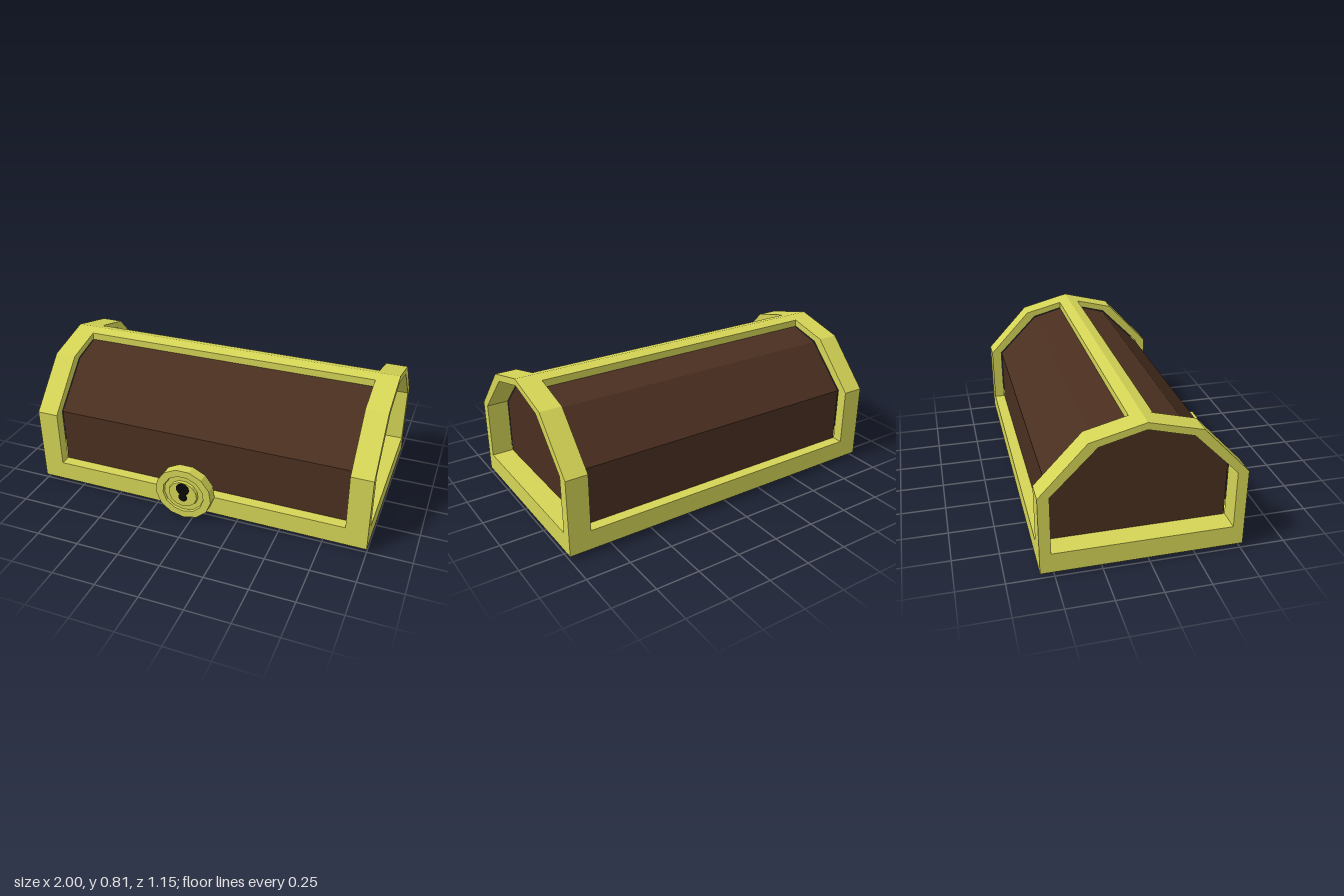
import * as THREE from 'three';

const gold = new THREE.MeshStandardMaterial({ color: 0xd4d456, flatShading: true });
const wood = new THREE.MeshStandardMaterial({ color: 0x4a2f20, flatShading: true });
const black = new THREE.MeshStandardMaterial({ color: 0x080808 });

const MID_Z = -0.032; // depth of the ridge line
const HALF = 0.875;   // half length of the wooden body

// Symmetric barrel profile (half width, y), listed as a closed outline.
// h: half width, y0: bottom, knee: top of the wall, (sx, sy): shoulder, top: ridge
function barrel({ h, y0, knee, sx, sy, top }) {
  const half = [[h, y0], [h, knee], [sx, sy]];
  return [...half, [0, top], ...half.reverse().map(([x, y]) => [-x, y])]
    .map(([x, y]) => new THREE.Vector2(x + MID_Z, y));
}

// Extrude a z-y outline along x, centred on the given x
function extrudeX(shape, length, x, material, name) {
  const geo = new THREE.ExtrudeGeometry(shape, { depth: length, bevelEnabled: false });
  geo.translate(0, 0, -length / 2).rotateY(-Math.PI / 2).translate(x, 0, 0);
  const mesh = new THREE.Mesh(geo, material);
  mesh.name = name;
  return mesh;
}

function box(w, h, d, x, y, z, material, name) {
  const mesh = new THREE.Mesh(new THREE.BoxGeometry(w, h, d), material);
  mesh.position.set(x, y, z);
  mesh.name = name;
  return mesh;
}

// Hollow wooden chest, open underneath
function createBody() {
  const body = new THREE.Group();
  body.name = 'woodenBody';
  const t = 0.08;
  const outer = barrel({ h: 0.479, y0: 0, knee: 0.465, sx: 0.24, sy: 0.708, top: 0.775 });
  const inner = barrel({ h: 0.479 - t, y0: 0, knee: 0.43, sx: 0.203, sy: 0.634, top: 0.692 });
  const shell = new THREE.Shape([...outer, ...inner.reverse()]);
  body.add(extrudeX(shell, 2 * (HALF - t), 0, wood, 'barrelShell'));
  for (const s of [-1, 1]) {
    body.add(extrudeX(new THREE.Shape(outer), t, s * (HALF - t / 2 - 0.001), wood, 'endWall'));
  }
  return body;
}

// Metal arches at both ends, joined by base rails and a ridge strip
function createFrame() {
  const frame = new THREE.Group();
  frame.name = 'metalFrame';
  const arch = new THREE.Shape(
    barrel({ h: 0.543, y0: 0.027, knee: 0.47, sx: 0.29, sy: 0.74, top: 0.815 }));
  arch.holes.push(new THREE.Path(
    barrel({ h: 0.483, y0: 0.14, knee: 0.468, sx: 0.241, sy: 0.713, top: 0.777 })));
  for (const s of [-1, 1]) {
    frame.add(extrudeX(arch, 1 - HALF, s * (1 + HALF) / 2, gold, 'endArch'));
    frame.add(box(2 * HALF, 0.113, 0.066, 0, 0.0835, MID_Z + s * 0.51, gold, 'baseRail'));
  }
  const w = 0.062;
  const ridge = new THREE.Shape(
    [[w, 0.757], [w, 0.799], [0, 0.815], [-w, 0.799], [-w, 0.757], [0, 0.773]]
      .map(([x, y]) => new THREE.Vector2(x + MID_Z, y)));
  frame.add(extrudeX(ridge, 2 * HALF, 0, gold, 'ridgeStrip'));
  return frame;
}

// Round lock plate with stepped rings and a keyhole
function createLock() {
  const lock = new THREE.Group();
  lock.name = 'lock';
  const profile = [[0, 0], [0.17, 0], [0.17, 0.062], [0.125, 0.062], [0.12, 0.05],
    [0.09, 0.05], [0.085, 0.064], [0, 0.064]].map(([r, y]) => new THREE.Vector2(r, y));
  const geo = new THREE.LatheGeometry(profile, 13).rotateX(Math.PI / 2);
  const plate = new THREE.Mesh(geo, gold);
  plate.name = 'lockPlate';
  plate.scale.y = 0.94;
  lock.add(plate);
  for (const [r, y] of [[0.04, 0.035], [0.026, -0.02]]) {
    const hole = new THREE.Mesh(new THREE.CylinderGeometry(r, r, 0.004, 16).rotateX(Math.PI / 2), black);
    hole.position.set(0, y, 0.064);
    hole.name = 'keyhole';
    lock.add(hole);
  }
  lock.add(box(0.02, 0.05, 0.004, 0, 0.005, 0.064, black, 'keyholeSlot'));
  lock.position.set(-0.05, 0.16, 0.51);
  return lock;
}

export function createModel() {
  const chest = new THREE.Group();
  chest.name = 'chest';
  chest.add(createBody(), createFrame(), createLock());
  return chest;
}
